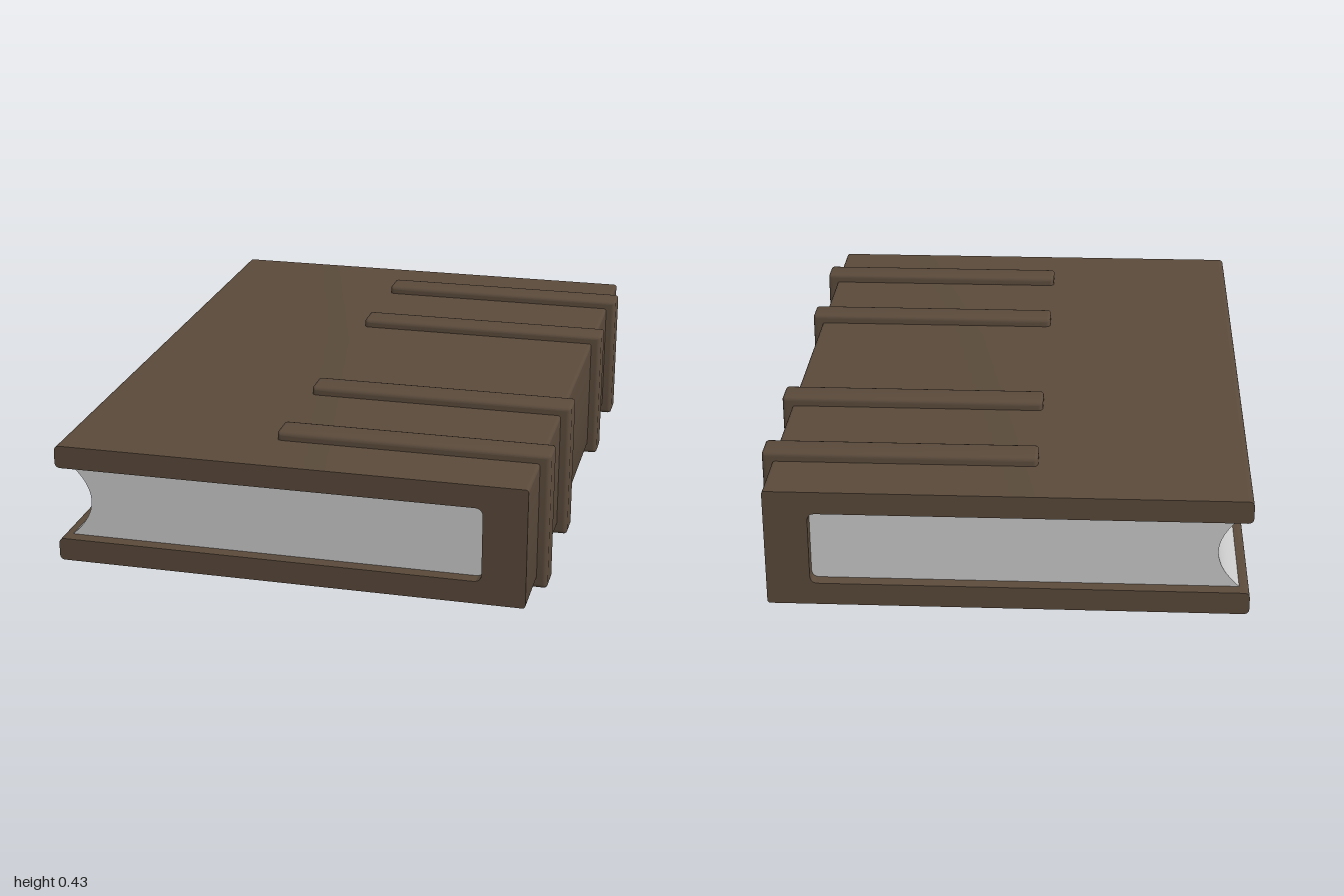
import * as THREE from 'three';
import { toCreasedNormals } from 'three/addons/utils/BufferGeometryUtils.js';

// Closed outline from [x, y, cornerRadius] points
function roundedShape(points) {
  const shape = new THREE.Shape();
  const n = points.length;
  points.forEach(([x, y, r], i) => {
    const corner = new THREE.Vector2(x, y);
    const toward = ([px, py]) =>
      new THREE.Vector2(px, py).sub(corner).setLength(r).add(corner);
    const a = toward(points[(i + n - 1) % n]);
    const b = toward(points[(i + 1) % n]);
    if (i === 0) shape.moveTo(a.x, a.y);
    else shape.lineTo(a.x, a.y);
    if (r > 0) shape.quadraticCurveTo(x, y, b.x, b.y);
  });
  shape.closePath();
  return shape;
}

// C-shaped outline, open towards -x
function cShape(x0, x1, y0, y1, inX, inY0, inY1, rOuter, rEnd, rInner) {
  return roundedShape([
    [x0, y0, rEnd], [x1, y0, rOuter], [x1, y1, rOuter], [x0, y1, rEnd],
    [x0, inY1, rEnd], [inX, inY1, rInner], [inX, inY0, rInner], [x0, inY0, rEnd],
  ]);
}

// Extrusion along z centred on z = 0, with optional rounded rims
function extrude(shape, depth, bevel = 0) {
  const geometry = new THREE.ExtrudeGeometry(shape, {
    depth: depth - 2 * bevel,
    curveSegments: 16,
    bevelEnabled: bevel > 0,
    bevelSize: bevel,
    bevelThickness: bevel,
    bevelOffset: -bevel,
    bevelSegments: 3,
  });
  geometry.translate(0, 0, -depth / 2 + bevel);
  return toCreasedNormals(geometry, 0.6);
}

export function createModel() {
  const group = new THREE.Group();
  const leather = new THREE.MeshStandardMaterial({ color: 0x5a4a3b });
  const paper = new THREE.MeshStandardMaterial({ color: 0xcccccc });

  const add = (name, geometry, material, z = 0) => {
    const mesh = new THREE.Mesh(geometry, material);
    mesh.name = name;
    mesh.position.z = z;
    group.add(mesh);
  };

  // Two boards joined by the spine
  const coverShape = cShape(-0.73, 0.695, 0.03, 0.4, 0.565, 0.1, 0.33, 0.01, 0.018, 0.025);
  add('cover', extrude(coverShape, 2), leather);

  // Page block with a hollow fore-edge, set back from the cover ends
  const pages = new THREE.Shape();
  pages.moveTo(-0.7, 0.1);
  pages.lineTo(0.57, 0.1);
  pages.lineTo(0.57, 0.33);
  pages.lineTo(-0.7, 0.33);
  pages.quadraticCurveTo(-0.57, 0.215, -0.7, 0.1);
  add('pages', extrude(pages, 1.92), paper);

  // Raised bands wrapping the spine
  const bandShape = cShape(-0.1, 0.727, 0, 0.427, 0.65, 0.06, 0.37, 0.012, 0.012, 0.005);
  const bandGeometry = extrude(bandShape, 0.1, 0.015);
  [-0.75, -0.35, 0.35, 0.75].forEach((z) => add('spineBand', bandGeometry, leather, z));

  return group;
}
